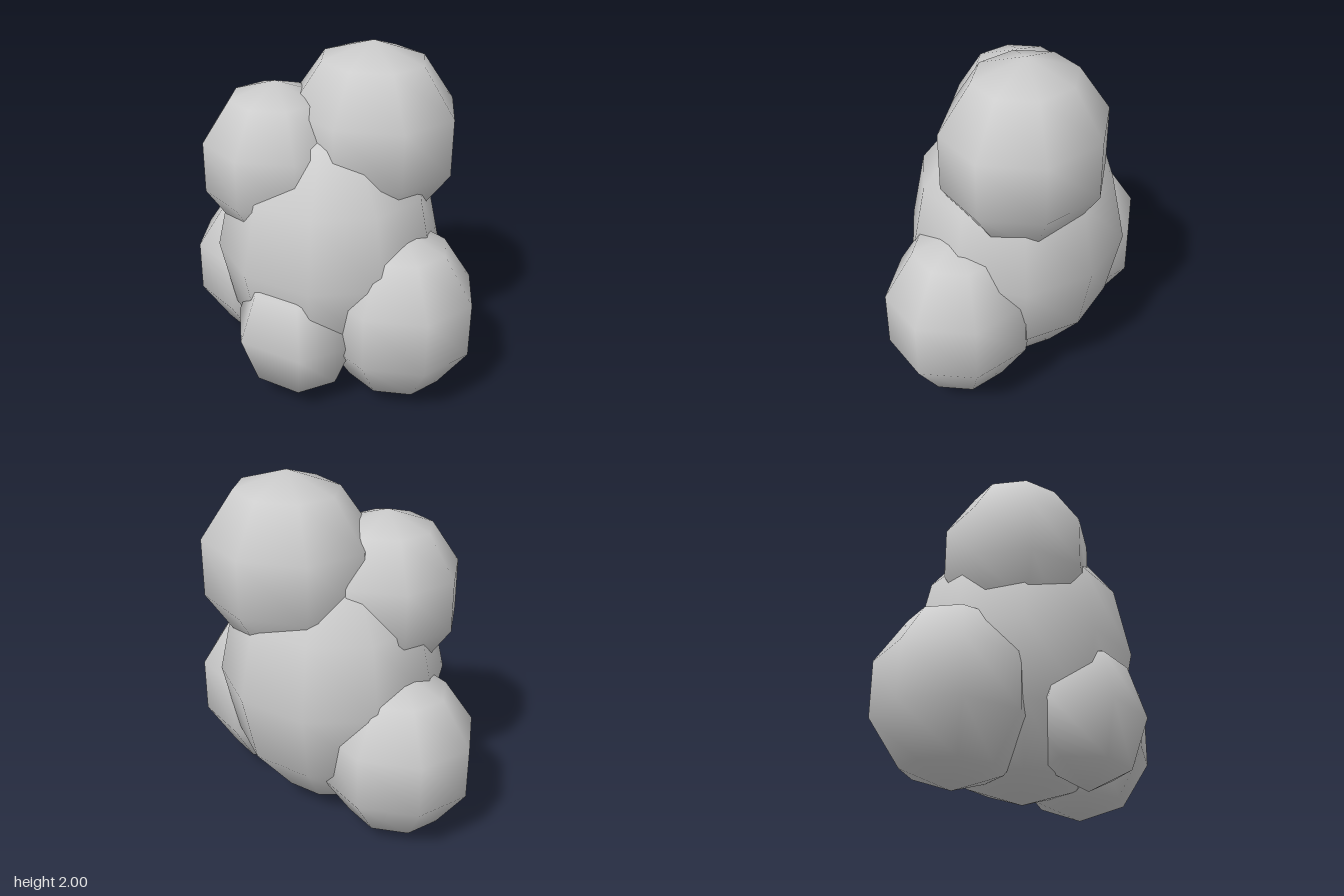
import * as THREE from 'three';

const grey = new THREE.MeshStandardMaterial({ color: 0xcccccc });
grey.name = 'light grey';

// One low-poly ellipsoid lobe with smooth normals
function lobe(name, [x, y, z], [rx, ry, rz], around, rings) {
  const geometry = new THREE.SphereGeometry(1, around, rings);
  geometry.scale(rx, ry, rz);
  const mesh = new THREE.Mesh(geometry, grey);
  mesh.name = name;
  mesh.position.set(x, y, z);
  return mesh;
}

export function createModel() {
  const group = new THREE.Group();
  group.name = 'lobedCluster';

  group.add(
    // Tall core that every other lobe sinks into
    lobe('core', [0, 0.82, -0.037], [0.65, 0.8, 0.613], 10, 6),
    // Two upper lobes
    lobe('topLobe', [0.18, 1.48, -0.19], [0.506, 0.52, 0.46], 8, 5),
    lobe('upperRightLobe', [-0.26, 1.322, 0.1], [0.431, 0.465, 0.42], 8, 5),
    // Two lower side lobes
    lobe('lowerLeftLobe', [0.477, 0.54, 0.038], [0.47, 0.52, 0.43], 8, 5),
    lobe('lowerRightLobe', [-0.49, 0.495, -0.13], [0.463, 0.493, 0.431], 8, 5),
    // Small lobe at the front
    lobe('frontLobe', [0, 0.435, 0.365], [0.375, 0.4, 0.303], 6, 4)
  );
  return group;
}
